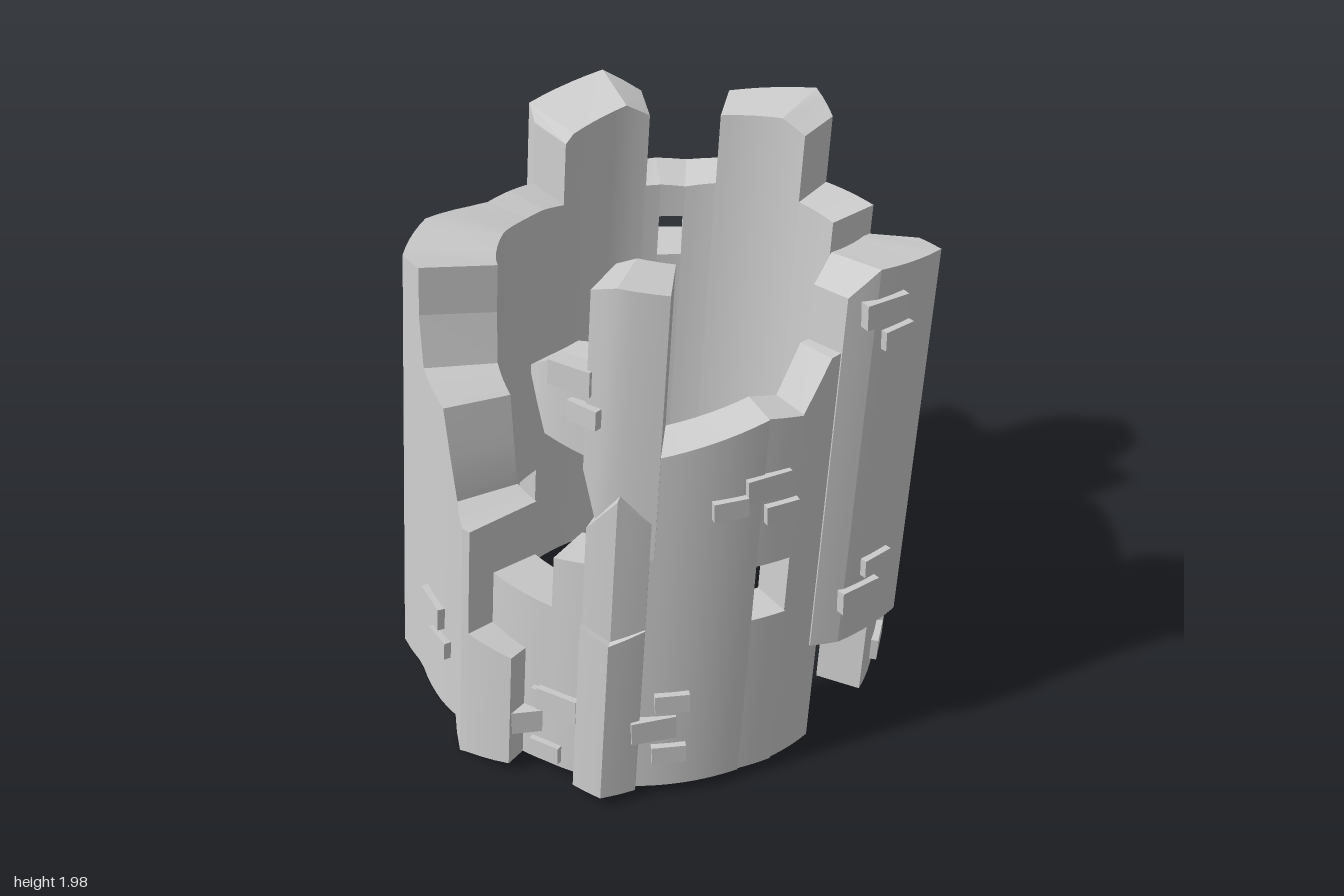
import * as THREE from 'three';
import { toCreasedNormals } from 'three/addons/utils/BufferGeometryUtils.js';

const R_IN = 0.65, BASE = 0.04;
const { degToRad, lerp } = THREE.MathUtils;
const stone = new THREE.MeshStandardMaterial({ color: 0xcccccc });

// Point on the leaning ring: angle 0 is the front, 90 is +x
const ringPoint = (deg, r, y) =>
  new THREE.Vector3(r * Math.sin(degToRad(deg)), y, r * Math.cos(degToRad(deg)) + 0.05 - 0.085 * y);

// Closed block of wall swept through stations of (angle, outer radius, top, bottom)
function blockGeometry(stations) {
  const pos = [], idx = [];
  const addSection = (a, r, top, bottom) => {
    const section = [[r, bottom], [r, top], [R_IN, top - 0.02], [R_IN, Math.max(bottom, BASE)]];
    for (const [radius, y] of section) pos.push(...ringPoint(a, radius, y).toArray());
  };
  addSection(...stations[0]);
  for (let s = 1; s < stations.length; s++) {
    const from = stations[s - 1], to = stations[s];
    const steps = Math.ceil((to[0] - from[0]) / 4);
    for (let i = 1; i <= steps; i++) addSection(...from.map((v, k) => lerp(v, to[k], i / steps)));
  }
  const end = pos.length / 3 - 4;
  for (let i = 0; i < end; i += 4) {
    for (let k = 0; k < 4; k++) {
      const a = i + k, d = i + (k + 1) % 4;
      idx.push(a, a + 4, d + 4, a, d + 4, d);
    }
  }
  idx.push(0, 1, 2, 0, 2, 3, end, end + 2, end + 1, end, end + 3, end + 2);
  const geo = new THREE.BufferGeometry();
  geo.setAttribute('position', new THREE.Float32BufferAttribute(pos, 3));
  geo.setIndex(idx);
  return toCreasedNormals(geo, 0.3);
}

export function createModel() {
  const tower = new THREE.Group();
  tower.name = 'ruinedTower';
  const blocks = [];

  // Stations are [angle, outer radius, top] with the bottom optional
  function block(name, ...stations) {
    const full = stations.map(([a, r, top, bottom = BASE]) => [a, r, top, bottom]);
    const mesh = new THREE.Mesh(blockGeometry(full), stone);
    mesh.name = name;
    tower.add(mesh);
    blocks.push(full);
  }

  // Wall between two angles with an opening from sill to lintel
  function windowWall(name, a0, a1, r, sill, lintel, top0, top1, bottom = BASE) {
    block(name + 'Sill', [a0, r, sill, bottom], [a1, r, sill, bottom]);
    block(name + 'Lintel', [a0, r, top0, lintel], [a1, r, top1, lintel]);
  }

  // Back tower, and the wall beside it with a gap at its foot
  block('backTower', [-180, 0.81, 1.85], [-171, 0.9, 1.89], [-150, 0.82, 1.86]);
  block('backLeftWall', [-150, 0.82, 1.59], [-140, 0.83, 1.57]);
  windowWall('backLeftWindow', -140, -132, 0.83, 1.29, 1.43, 1.57, 1.58, 0.37);
  block('backLeftWall', [-132, 0.83, 1.58, 0.37], [-126, 0.82, 1.58, 0.37]);

  // Left tower and left wall
  block('leftTower', [-127, 0.82, 1.86], [-119, 0.93, 1.91], [-100, 0.925, 1.85], [-97, 0.83, 1.82]);
  block('leftWall', [-97, 0.83, 1.58], [-88, 0.82, 1.6]);
  windowWall('leftWindow', -88, -79, 0.82, 0.25, 0.47, 1.6, 1.61);
  block('leftWall', [-79, 0.82, 1.61], [-74, 0.85, 1.62], [-62, 0.94, 1.65],
    [-45, 0.97, 1.66], [-37, 0.92, 1.68]);

  // Broken edge stepping down to the front buttress and the low front wall
  block('brokenEdge', [-37, 0.92, 1.5], [-34, 0.91, 1.32], [-21, 0.9, 1.28], [-15, 0.89, 0.96]);
  block('frontButtress', [-15, 0.89, 0.96], [-7, 0.955, 0.95, 0], [-5, 0.95, 0.95, 0.01]);
  block('buttressFoot', [-5, 0.95, 0.53, 0.01], [6, 0.92, 0.5]);
  block('frontWall', [-5, 0.84, 0.73], [13, 0.84, 0.71]);
  block('frontWall', [13, 0.84, 0.91], [22, 0.85, 0.93]);

  // Front pier, the block above it, the tall pillar and its overhang
  block('frontPier', [22, 0.91, 0.72], [29, 0.95, 0.69], [36, 0.89, 0.72]);
  block('pierBlock', [22, 0.89, 1.1, 0.6], [29, 0.92, 1.24, 0.6], [36, 0.88, 1.14, 0.6]);
  block('pillar', [20, 0.86, 1.95, 1.3], [26, 0.88, 1.98, 1], [37, 0.88, 1.97, 1]);
  block('overhang', [3, 0.8, 1.58, 1.55], [9, 0.83, 1.64, 1.37], [21, 0.85, 1.67, 1.34]);

  // Right wall, and the right tower over the doorway
  block('rightWall', [36, 0.87, 1.38], [61, 0.83, 1.47]);
  windowWall('rightWindow', 61, 70, 0.825, 0.68, 0.9, 1.47, 1.45);
  block('rightWall', [70, 0.82, 1.45], [77, 0.81, 1.62], [83, 0.8, 1.62]);
  block('rightTower', [80, 0.81, 1.82, 0.46], [86, 0.86, 1.91, 0.46],
    [104, 0.92, 1.88, 0.46], [109, 0.82, 1.86, 0.46]);

  // Back right wall, broken low toward the back
  block('backRightWall', [106, 0.82, 1.58], [117, 0.82, 1.59]);
  windowWall('backRightWindow', 117, 124, 0.82, 0.62, 0.84, 1.59, 1.58);
  block('lowBackWall', [124, 0.82, 1.3], [134, 0.82, 1.25], [158, 0.88, 1.25], [164, 0.83, 1.27]);
  block('backWall', [164, 0.83, 1.58], [180, 0.81, 1.59]);

  // Point on the outermost wall face at an angle and height
  function surfacePoint(deg, y) {
    let r = 0.8;
    for (const stations of blocks) {
      for (let s = 1; s < stations.length; s++) {
        const [a0, r0, t0, b0] = stations[s - 1], [a1, r1, t1, b1] = stations[s];
        const f = (deg - a0) / (a1 - a0);
        if (f >= 0 && f <= 1 && y <= lerp(t0, t1, f) && y >= lerp(b0, b1, f)) {
          r = Math.max(r, lerp(r0, r1, f));
        }
      }
    }
    return ringPoint(deg, r, y);
  }

  // Raised brick following the slope of the wall behind it
  const up = new THREE.Vector3(0, 1, -0.085).normalize();
  function brick(deg, y, w, h) {
    const across = surfacePoint(deg + 3, y).sub(surfacePoint(deg - 3, y)).normalize();
    const out = across.clone().cross(up).normalize();
    const mesh = new THREE.Mesh(new THREE.BoxGeometry(w, h, 0.07), stone);
    mesh.name = 'brick';
    mesh.setRotationFromMatrix(new THREE.Matrix4().makeBasis(across, out.clone().cross(across), out));
    mesh.position.copy(surfacePoint(deg, y)).addScaledVector(out, -0.012);
    tower.add(mesh);
  }

  // Patches of staggered bricks: angle, height of the top course, courses
  const patches = [
    [-58, 1.03, 3], [-70, 0.65, 2], [-23, 0.42, 2], [11, 0.32, 3], [18, 0.32, 1],
    [41, 0.41, 3], [18, 1.62, 2], [51, 1.17, 1], [64, 1.22, 2], [92, 0.75, 2],
    [90, 1.76, 2], [121, 0.25, 2], [148, 0.6, 3], [172, 1.1, 3], [-159, 1.74, 2],
    [-137, 0.95, 2], [-109, 1.18, 2], [-108, 0.28, 2], [-85, 0.92, 2],
  ];
  patches.forEach(([deg, top, courses], p) => {
    for (let c = 0; c < courses; c++) {
      const odd = (p + c) % 2;
      brick(deg + (odd ? 2 : -2), top - 0.11 * c, odd ? 0.12 : 0.16, odd ? 0.07 : 0.09);
    }
  });
  return tower;
}
